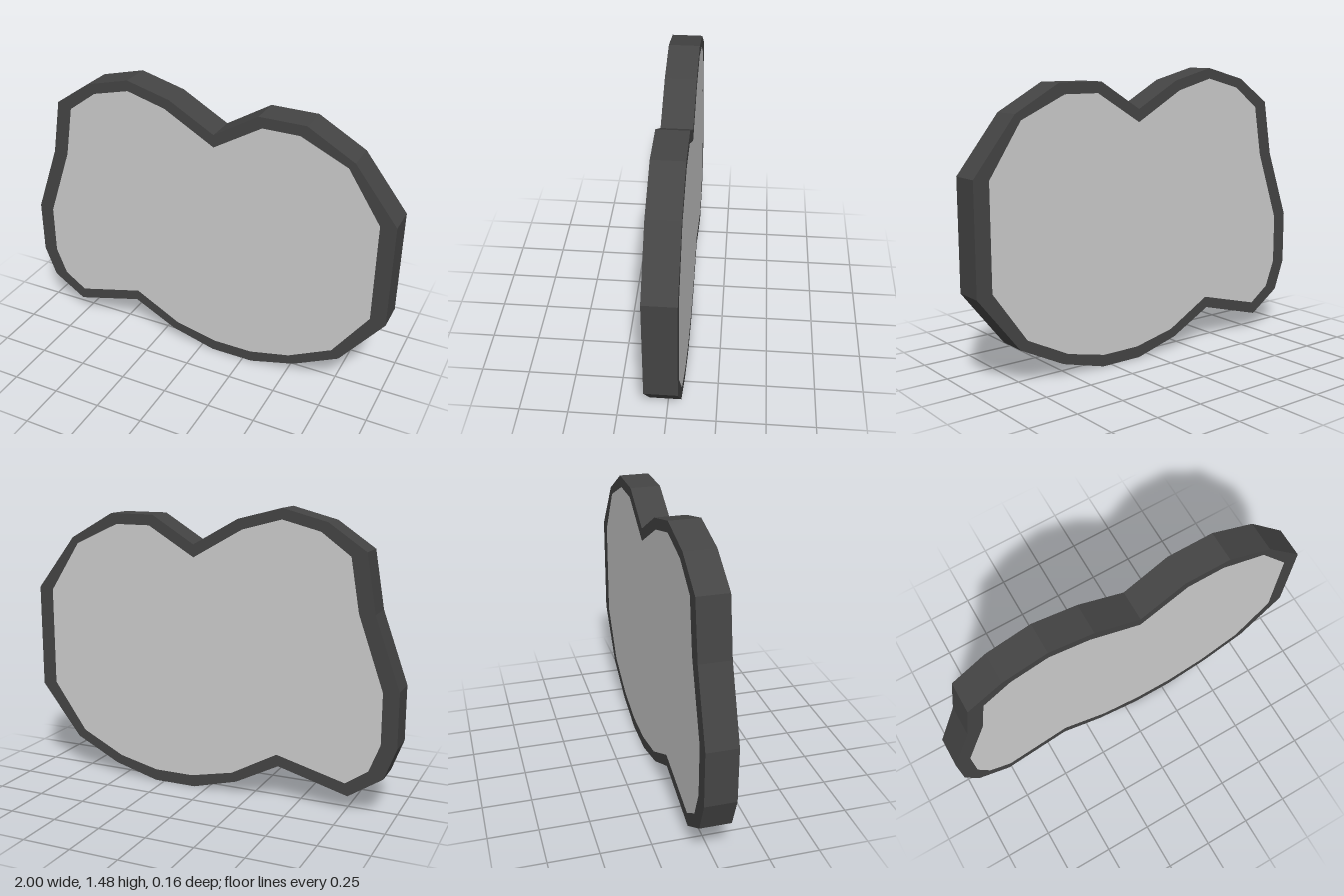
import * as THREE from 'three';

const DEPTH = 0.156;

// Matching corners of the outline, clockwise from the lower left side
const OUTER = [
  [-1, 0.36], [-1, 0.64], [-0.87, 1.0], [-0.82, 1.29], [-0.63, 1.42], [-0.4, 1.48], [-0.17, 1.42],
  [0.07, 1.285], [0.3, 1.425], [0.54, 1.425], [0.78, 1.29], [1, 1.01], [1, 0.465], [0.78, 0.185],
  [0.54, 0.065], [0.3, 0], [0.07, 0], [-0.17, 0.065], [-0.4, 0.185], [-0.765, 0.085], [-0.94, 0.2],
];
const INNER = [
  [-0.92, 0.37], [-0.92, 0.63], [-0.79, 1.0], [-0.745, 1.265], [-0.595, 1.375], [-0.4, 1.425], [-0.195, 1.37],
  [0.07, 1.22], [0.32, 1.37], [0.51, 1.37], [0.75, 1.26], [0.92, 1.0], [0.92, 0.48], [0.74, 0.225],
  [0.51, 0.11], [0.295, 0.06], [0.085, 0.06], [-0.145, 0.11], [-0.39, 0.245], [-0.75, 0.15], [-0.865, 0.23],
];

const toPoints = (list) => list.map(([x, y]) => new THREE.Vector2(x, y));

// Flat slab centred on z = 0
function slab(name, shape, color) {
  const geometry = new THREE.ExtrudeGeometry(shape, { depth: DEPTH, bevelEnabled: false });
  geometry.translate(0, 0, -DEPTH / 2);
  const mesh = new THREE.Mesh(geometry, new THREE.MeshStandardMaterial({ color, flatShading: true }));
  mesh.name = name;
  return mesh;
}

export function createModel() {
  const model = new THREE.Group();
  model.name = 'framedPanel';

  // Dark rim following the outline
  const rimShape = new THREE.Shape(toPoints(OUTER));
  rimShape.holes.push(new THREE.Path(toPoints(INNER)));
  model.add(slab('rim', rimShape, 0x444444));

  // Light panel filling the rim, flush on both faces
  model.add(slab('panel', new THREE.Shape(toPoints(INNER)), 0xcccccc));

  return model;
}
